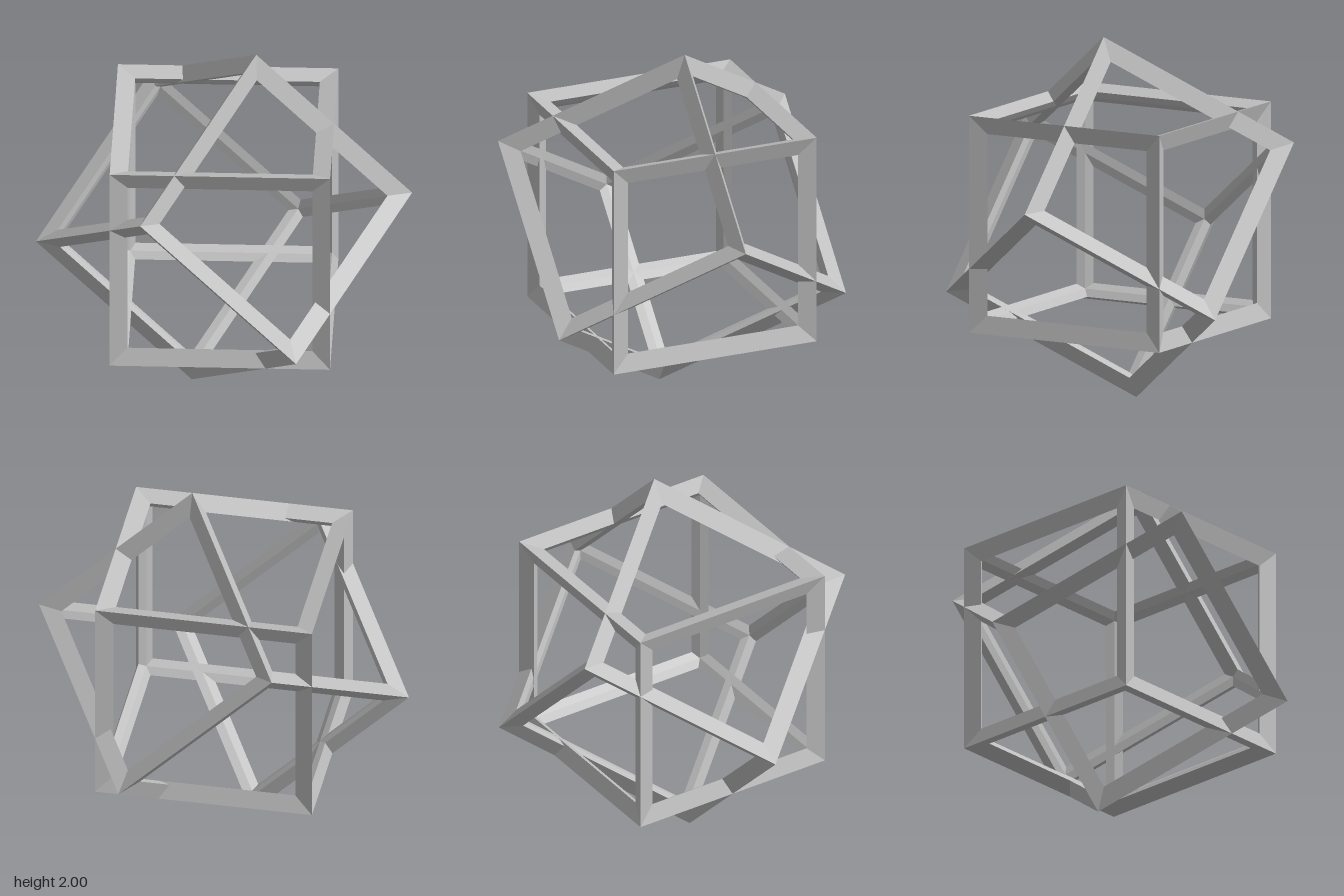
import * as THREE from 'three';
import { mergeGeometries } from 'three/addons/utils/BufferGeometryUtils.js';

const HALF = 2 / (2 + Math.SQRT2); // half the cube edge
const INSET = 0.095;  // width of a bar seen square on
const SINK = 0.03;    // how far the inset edge drops below the cube face
const RIDGE = 0.0675; // depth of the inner ridge

// One mitred bar along x, on the cube edge y = z = HALF, with a kite section
function barGeometry() {
  const section = [[0, 0, 0], [INSET, SINK, INSET], [RIDGE, RIDGE, RIDGE], [INSET, INSET, SINK]];
  const point = ([x, y, z], side) => [side * (HALF - x), HALF - y, HALF - z];
  const positions = [];
  section.forEach((p, i) => {
    const q = section[(i + 1) % 4];
    const [a, b, c, d] = [point(p, -1), point(p, 1), point(q, 1), point(q, -1)];
    positions.push(...a, ...b, ...c, ...a, ...c, ...d);
  });
  const geometry = new THREE.BufferGeometry();
  geometry.setAttribute('position', new THREE.Float32BufferAttribute(positions, 3));
  geometry.computeVertexNormals();
  return geometry;
}

// Twelve bars: four around each of the three axes
function cubeFrameGeometry() {
  const diagonal = new THREE.Vector3(1, 1, 1).normalize();
  const bars = [];
  for (let axis = 0; axis < 3; axis++) {
    const turn = new THREE.Matrix4().makeRotationAxis(diagonal, axis * Math.PI * 2 / 3);
    for (let i = 0; i < 4; i++) {
      bars.push(barGeometry().rotateX(i * Math.PI / 2).applyMatrix4(turn));
    }
  }
  return mergeGeometries(bars);
}

export function createModel() {
  const model = new THREE.Group();
  model.name = 'interlockedCubeFrames';
  const grey = new THREE.MeshStandardMaterial({ color: 0xc0c0c0 });
  grey.name = 'grey';
  const geometry = cubeFrameGeometry();

  const uprightFrame = new THREE.Mesh(geometry, grey);
  uprightFrame.name = 'uprightCubeFrame';
  uprightFrame.position.y = 1;

  // Second frame, turned 45 degrees about x and then about z
  const tiltedFrame = new THREE.Mesh(geometry, grey);
  tiltedFrame.name = 'tiltedCubeFrame';
  tiltedFrame.position.y = 1;
  tiltedFrame.rotation.set(Math.PI / 4, 0, -Math.PI / 4, 'ZYX');

  model.add(uprightFrame, tiltedFrame);
  return model;
}
